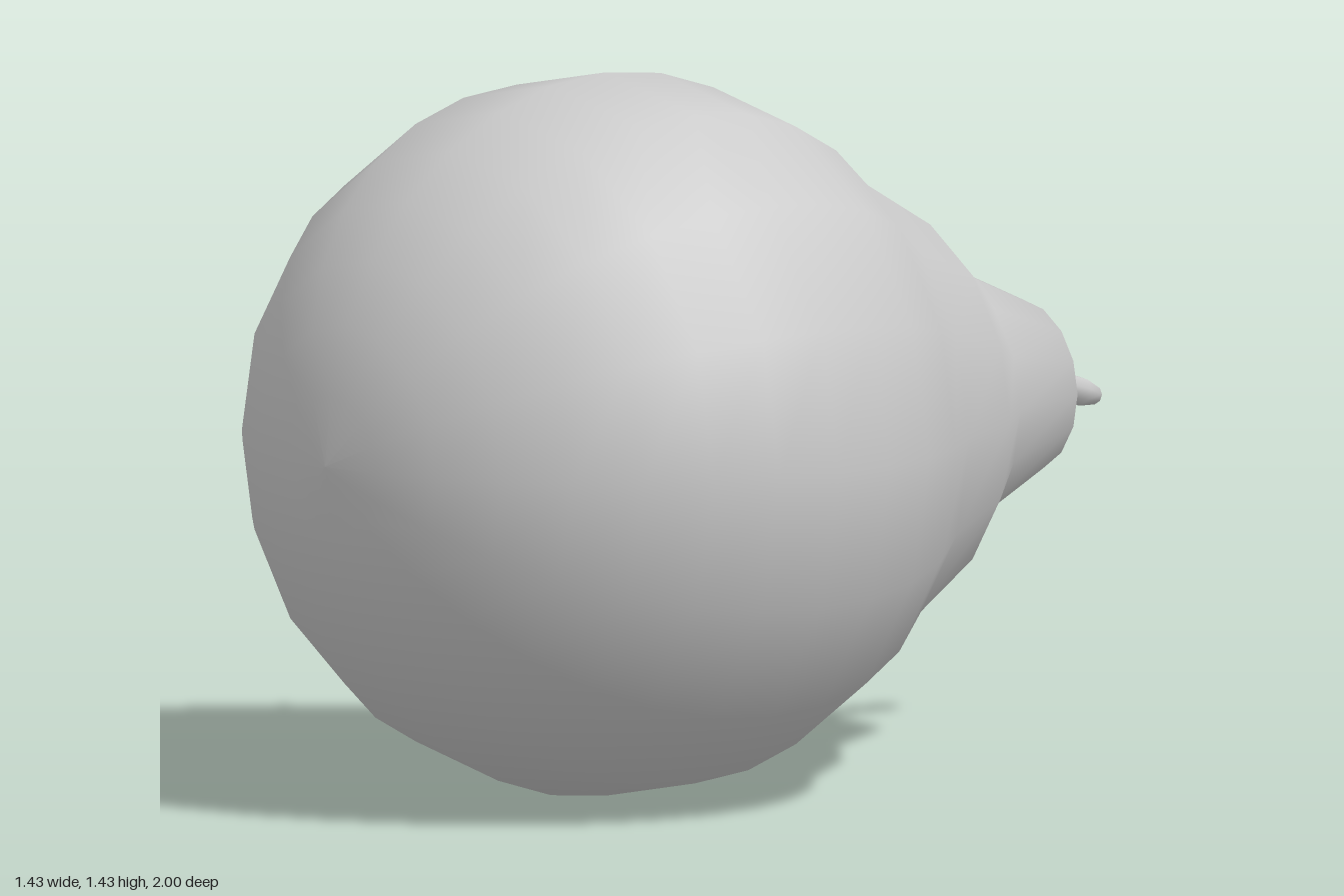
import * as THREE from 'three';

const material = new THREE.MeshStandardMaterial({ color: 0xcccccc });

// Lathe from [radius, height] pairs listed from bottom to top
function lathe(name, points, sides) {
  const profile = points.map(([r, h]) => new THREE.Vector2(r, h));
  const mesh = new THREE.Mesh(new THREE.LatheGeometry(profile, sides), material);
  mesh.name = name;
  return mesh;
}

export function createModel() {
  const group = new THREE.Group();
  group.name = 'pear';
  const R = 0.715;
  const centre = 0.285;

  // Body: spherical belly, then a neck that narrows towards the stem
  const profile = [];
  for (let i = 0; i <= 12; i++) {
    const a = (i / 16) * Math.PI;
    profile.push([R * Math.sin(a), -centre - R * Math.cos(a)]);
  }
  profile.push([0.397, 0.415], [0.272, 0.545], [0.17, 0.775], [0, 0.82]);
  const body = lathe('fruitBody', profile, 16);
  body.rotation.x = -Math.PI / 2;
  body.position.y = 0.72;
  group.add(body);

  // Stem: thin stalk with a tapered tip, leaning sideways and down
  const start = new THREE.Vector3(0.004, 0.737, -0.78);
  const end = new THREE.Vector3(-0.042, 0.675, -0.995);
  const axis = end.clone().sub(start);
  const length = axis.length();
  const stem = lathe('stem', [
    [0, 0], [0.031, 0], [0.029, length - 0.05], [0.018, length], [0, length],
  ], 8);
  stem.position.copy(start);
  stem.quaternion.setFromUnitVectors(new THREE.Vector3(0, 1, 0), axis.normalize());
  group.add(stem);

  return group;
}
